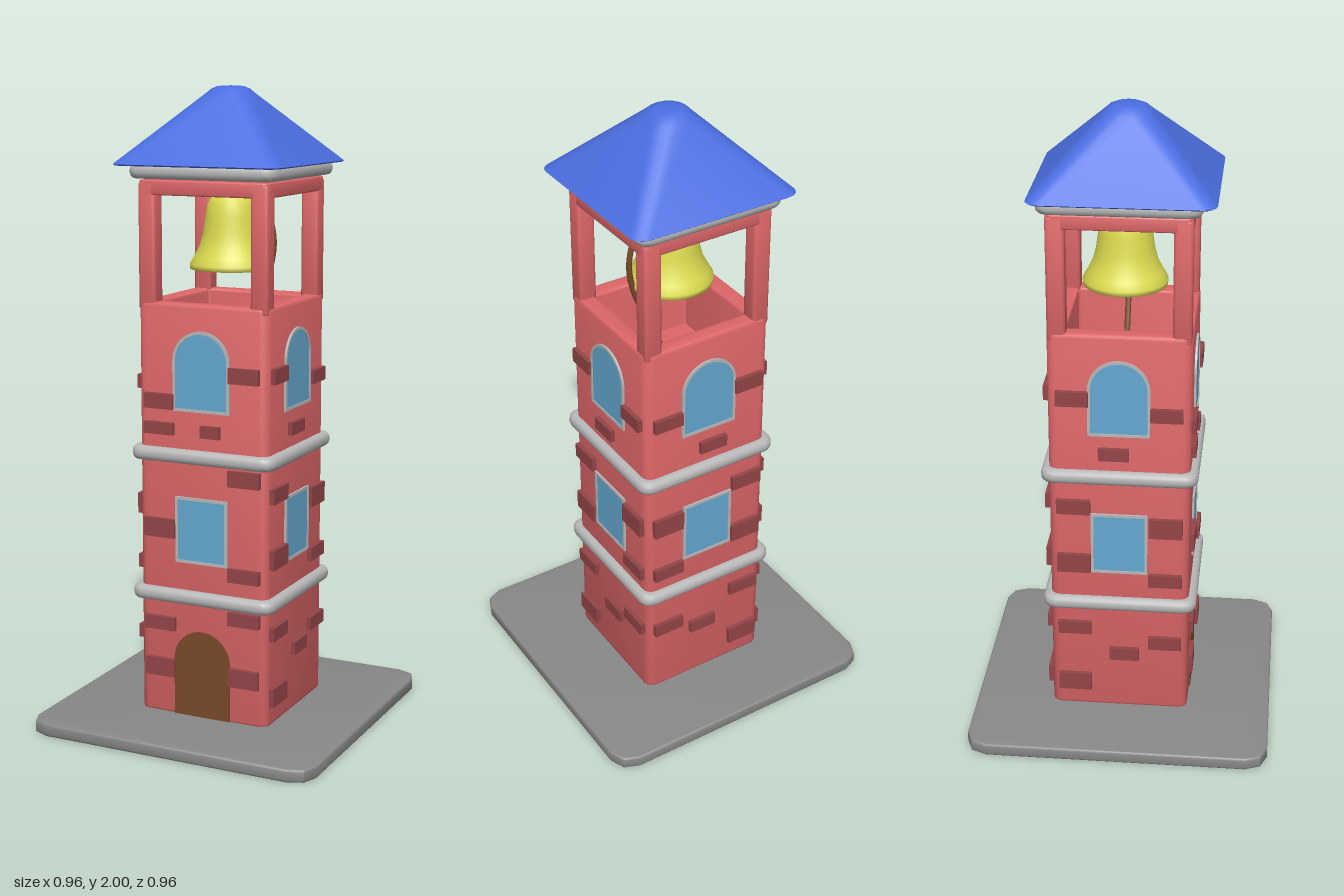
import * as THREE from 'three';
import { toCreasedNormals } from 'three/addons/utils/BufferGeometryUtils.js';

const mat = (color, side = THREE.FrontSide) => new THREE.MeshStandardMaterial({ color, side });
const RED = mat(0xdd6668), BRICK = mat(0x944548), GREY = mat(0xb8b8b8), STONE = mat(0x888888);
const BLUE = mat(0x4a6ee0), GLASS = mat(0x64a8d0), WOOD = mat(0x7a4a28);
const GOLD = mat(0xdcdc50, THREE.DoubleSide);
const HALF = 0.22; // half width of the tower

function add(parent, name, geometry, material, x = 0, y = 0, z = 0) {
  const mesh = new THREE.Mesh(geometry, material);
  mesh.name = name;
  mesh.position.set(x, y, z);
  parent.add(mesh);
  return mesh;
}

// Points of a square with rounded corners, counter-clockwise
function squarePoints(half, r, steps = 4) {
  const pts = [];
  for (let c = 0; c < 4; c++) {
    const mid = Math.PI / 4 + c * Math.PI / 2, d = (half - r) * Math.SQRT2;
    for (let i = 0; i <= steps; i++) {
      const a = c * Math.PI / 2 + (i / steps) * Math.PI / 2;
      pts.push(new THREE.Vector2(Math.cos(mid) * d + Math.cos(a) * r, Math.sin(mid) * d + Math.sin(a) * r));
    }
  }
  return pts;
}

// Upright slab with rounded corners, bevelled edges and an optional square hole
function slab(half, r, height, bevel, steps = 4, hole = 0) {
  const shape = new THREE.Shape(squarePoints(half, r, steps));
  if (hole) shape.holes.push(new THREE.Path(squarePoints(hole, 0.005, 1).reverse()));
  const geo = new THREE.ExtrudeGeometry(shape, {
    depth: height - 2 * bevel, bevelEnabled: true, bevelSize: bevel,
    bevelThickness: bevel, bevelOffset: -bevel, bevelSegments: 3,
  });
  geo.translate(0, 0, bevel).rotateX(-Math.PI / 2);
  return toCreasedNormals(geo, 0.75);
}

// Rectangular or round-headed outline standing on y = 0
function opening(Type, w, h, arched, inset = 0) {
  const p = new Type(), x = w / 2 - inset;
  p.moveTo(-x, inset).lineTo(x, inset);
  if (arched) {
    p.lineTo(x, h - w / 2);
    p.absarc(0, h - w / 2, x, 0, Math.PI, false);
  } else {
    p.lineTo(x, h - inset).lineTo(-x, h - inset);
  }
  p.closePath();
  return p;
}

function addPanel(face, name, w, h, arched, y, material, framed) {
  const panel = opening(THREE.Shape, w, h, arched, framed ? 0.008 : 0);
  add(face, name, new THREE.ExtrudeGeometry(panel, { depth: 0.014, bevelEnabled: false }), material, 0, y, HALF - 0.01);
  if (!framed) return;
  const frame = opening(THREE.Shape, w, h, arched);
  frame.holes.push(opening(THREE.Path, w, h, arched, 0.009));
  add(face, name + 'Frame', new THREE.ExtrudeGeometry(frame, { depth: 0.017, bevelEnabled: false }), GREY, 0, y, HALF - 0.01);
}

// Roof lofted from rounded-square rings: [half width, corner radius, y]
function roofGeometry() {
  const rings = [[0.001, 0.001, 1.766], [0.272, 0.04, 1.764], [0.277, 0.042, 1.768],
    [0.072, 0.055, 1.975], [0.058, 0.054, 1.99], [0.04, 0.04, 1.998], [0.001, 0.001, 2]];
  const pos = [], index = [], n = 20;
  for (const [half, r, y] of rings) {
    for (const p of squarePoints(half, r)) pos.push(p.x, y, -p.y);
  }
  for (let k = 0; k < rings.length - 1; k++) {
    for (let i = 0; i < n; i++) {
      const a = k * n + i, b = k * n + (i + 1) % n;
      index.push(a, b, b + n, a, b + n, a + n);
    }
  }
  const geo = new THREE.BufferGeometry();
  geo.setAttribute('position', new THREE.Float32BufferAttribute(pos, 3));
  geo.setIndex(index);
  return toCreasedNormals(geo, 0.8);
}

// Raised bricks: [x centre, y centre, width, height]
const L = -0.143, R = 0.146;
const FRONT_BRICKS = [[R, 1.143, 0.1, 0.048], [L, 1.047, 0.1, 0.048], [L, 0.962, 0.1, 0.038],
  [0.033, 0.962, 0.064, 0.038], [R, 0.825, 0.106, 0.05], [L, 0.645, 0.106, 0.06],
  [R, 0.52, 0.106, 0.043], [R, 0.38, 0.106, 0.043], [L, 0.335, 0.106, 0.043],
  [L, 0.19, 0.1, 0.058], [R, 0.19, 0.1, 0.058]];
const SIDE_BRICKS = [[L, 1.143, 0.1, 0.048], [R, 1.097, 0.1, 0.043], [-0.016, 0.96, 0.095, 0.04],
  [L, 0.773, 0.106, 0.048], [R, 0.708, 0.106, 0.065], [L, 0.573, 0.106, 0.063],
  [R, 0.52, 0.106, 0.043], [L, 0.335, 0.106, 0.043], [R, 0.288, 0.106, 0.043],
  [0.016, 0.242, 0.095, 0.043], [L, 0.13, 0.106, 0.06]];

function addFace(tower, name, turn, bricks, mirror, door) {
  const face = new THREE.Group();
  face.name = name;
  face.rotation.y = turn * Math.PI / 2;
  addPanel(face, 'archedWindow', 0.192, 0.25, true, 1.02, GLASS, true);
  addPanel(face, 'squareWindow', 0.178, 0.21, false, 0.54, GLASS, true);
  if (door) addPanel(face, 'door', 0.192, 0.285, true, 0.035, WOOD, false);
  for (const [x, y, w, h] of bricks) {
    add(face, 'brick', new THREE.BoxGeometry(w, h, 0.03), BRICK, x * mirror, y, HALF);
  }
  tower.add(face);
}

export function createModel() {
  const model = new THREE.Group();
  model.name = 'bellTower';
  add(model, 'groundSlab', slab(0.479, 0.068, 0.04, 0.006, 2), STONE);

  const tower = new THREE.Group();
  tower.name = 'tower';
  tower.position.set(0.003, 0, -0.009);
  model.add(tower);

  // Hollow shaft with a sunken belfry floor
  add(tower, 'shaft', slab(HALF, 0.03, 1.315, 0.01, 4, 0.165), RED, 0, 0.035);
  add(tower, 'belfryFloor', new THREE.BoxGeometry(0.34, 0.04, 0.34), RED, 0, 1.12);

  addFace(tower, 'frontFace', 0, FRONT_BRICKS, 1, true);
  addFace(tower, 'leftFace', 1, SIDE_BRICKS, 1, false);
  addFace(tower, 'backFace', 2, SIDE_BRICKS, -1, false);
  addFace(tower, 'rightFace', 3, SIDE_BRICKS, 1, false);

  // Stone string courses
  for (const y of [0.406, 0.856, 1.724]) {
    add(tower, 'stoneBand', slab(0.244, 0.04, 0.045, 0.018), GREY, 0, y);
  }

  // Belfry posts and top ring
  for (const sx of [-1, 1]) {
    for (const sz of [-1, 1]) {
      add(tower, 'post', slab(0.0285, 0.01, 0.38, 0.002), RED, sx * 0.1885, 1.33, sz * 0.1885);
    }
  }
  add(tower, 'topBeam', slab(0.217, 0.02, 0.045, 0.004, 4, 0.16), RED, 0, 1.675);

  // Bell, hollow beneath
  const profile = [[0.112, 1.47], [0.122, 1.442], [0.13, 1.44], [0.131, 1.455], [0.118, 1.478], [0.101, 1.51],
    [0.09, 1.55], [0.083, 1.6], [0.076, 1.64], [0.063, 1.665], [0.04, 1.683], [0, 1.69]];
  add(tower, 'bell', new THREE.LatheGeometry(profile.map(([r, y]) => new THREE.Vector2(r, y)), 40), GOLD, -0.003);
  add(tower, 'bellHanger', new THREE.CylinderGeometry(0.02, 0.02, 0.06, 16), GOLD, -0.003, 1.705);

  // Bell rope
  const path = new THREE.CatmullRomCurve3([[0.03, 1.69], [0.075, 1.672], [0.12, 1.615], [0.14, 1.53],
    [0.125, 1.435], [0.09, 1.35], [0.04, 1.24], [0.02, 1.14]].map(([x, y]) => new THREE.Vector3(x, y, 0)));
  add(tower, 'bellRope', new THREE.TubeGeometry(path, 48, 0.009, 10), WOOD);

  add(model, 'roof', roofGeometry(), BLUE);
  return model;
}
